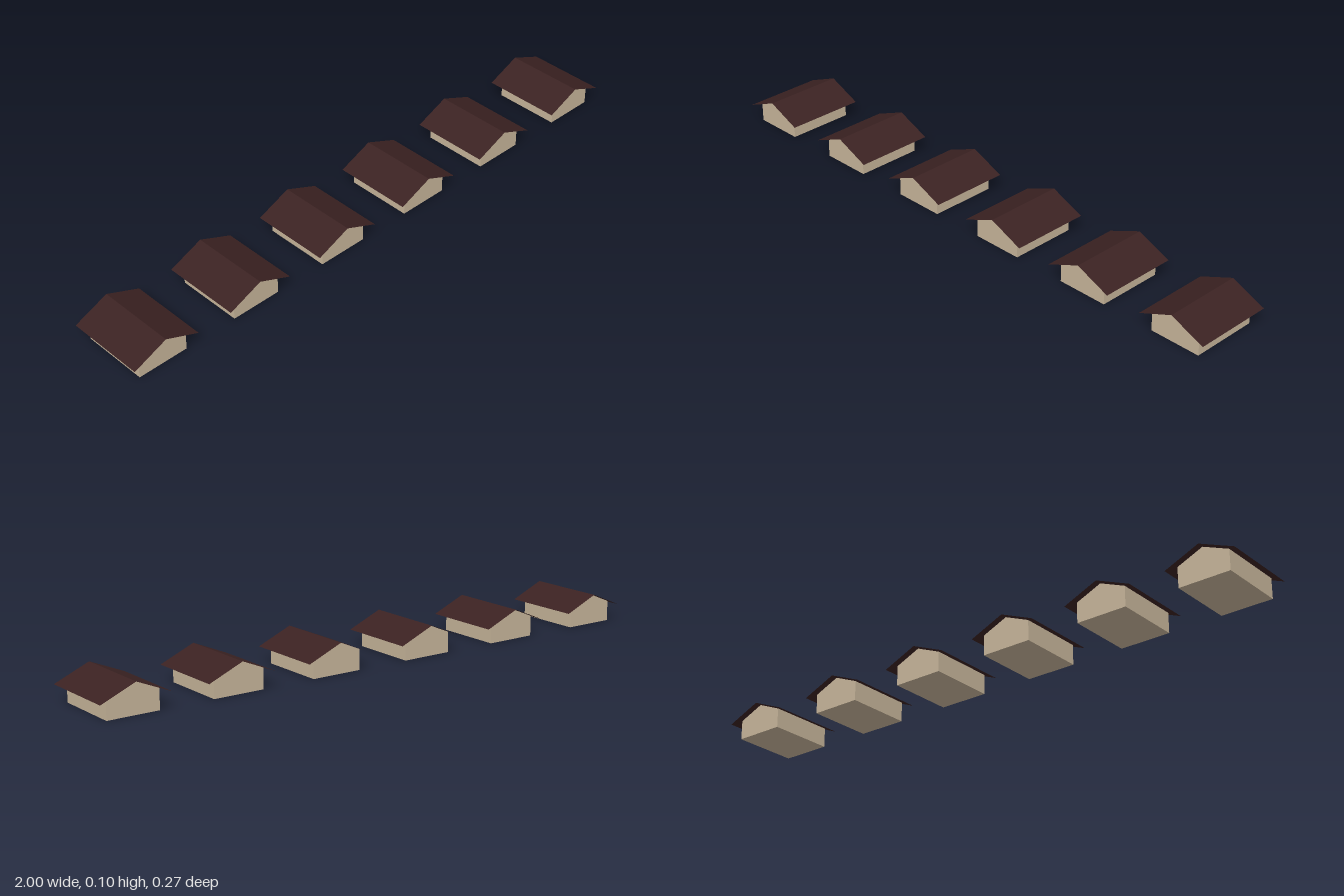
import * as THREE from 'three';

const RIDGE = 0.104, EAVE = 0.055, ROOF_HALF = 0.116, ROOF_DEPTH = 0.27;
const WALL_HALF = 0.086, WALL_DEPTH = 0.226, GAP = 0.0008;

// Gabled walls with a closed floor, tucked just under the roof sheet
function wallsGeometry() {
  const shoulder = RIDGE - (RIDGE - EAVE) * WALL_HALF / ROOF_HALF - GAP;
  const gable = new THREE.Shape([
    new THREE.Vector2(-WALL_HALF, 0),
    new THREE.Vector2(WALL_HALF, 0),
    new THREE.Vector2(WALL_HALF, shoulder),
    new THREE.Vector2(0, RIDGE - GAP),
    new THREE.Vector2(-WALL_HALF, shoulder),
  ]);
  return new THREE.ExtrudeGeometry(gable, { depth: WALL_DEPTH, bevelEnabled: false })
    .translate(0, 0, -WALL_DEPTH / 2);
}

// One thin roof slope falling from the ridge to the eave on the given side
function slopeGeometry(side) {
  const drop = RIDGE - EAVE;
  return new THREE.PlaneGeometry(Math.hypot(ROOF_HALF, drop), ROOF_DEPTH)
    .rotateX(-Math.PI / 2)
    .rotateZ(-side * Math.atan2(drop, ROOF_HALF))
    .translate(side * ROOF_HALF / 2, (RIDGE + EAVE) / 2, 0);
}

export function createModel() {
  const wallMaterial = new THREE.MeshStandardMaterial({ color: 0xc8b69b });
  wallMaterial.name = 'tan wall';
  const roofMaterial = new THREE.MeshStandardMaterial({ color: 0x3b2222, side: THREE.DoubleSide });
  roofMaterial.name = 'dark brown roof';

  const walls = wallsGeometry();
  const slopes = { leftRoofSlope: slopeGeometry(1), rightRoofSlope: slopeGeometry(-1) };

  const model = new THREE.Group();
  model.name = 'houseRow';
  const count = 6, spacing = (2 - 2 * ROOF_HALF) / (count - 1);

  // Row of identical houses
  for (let i = 0; i < count; i++) {
    const house = new THREE.Group();
    house.name = `house${i + 1}`;
    house.position.x = (i - (count - 1) / 2) * spacing;
    const body = new THREE.Mesh(walls, wallMaterial);
    body.name = 'walls';
    house.add(body);
    for (const [name, geometry] of Object.entries(slopes)) {
      const slope = new THREE.Mesh(geometry, roofMaterial);
      slope.name = name;
      house.add(slope);
    }
    model.add(house);
  }
  return model;
}
